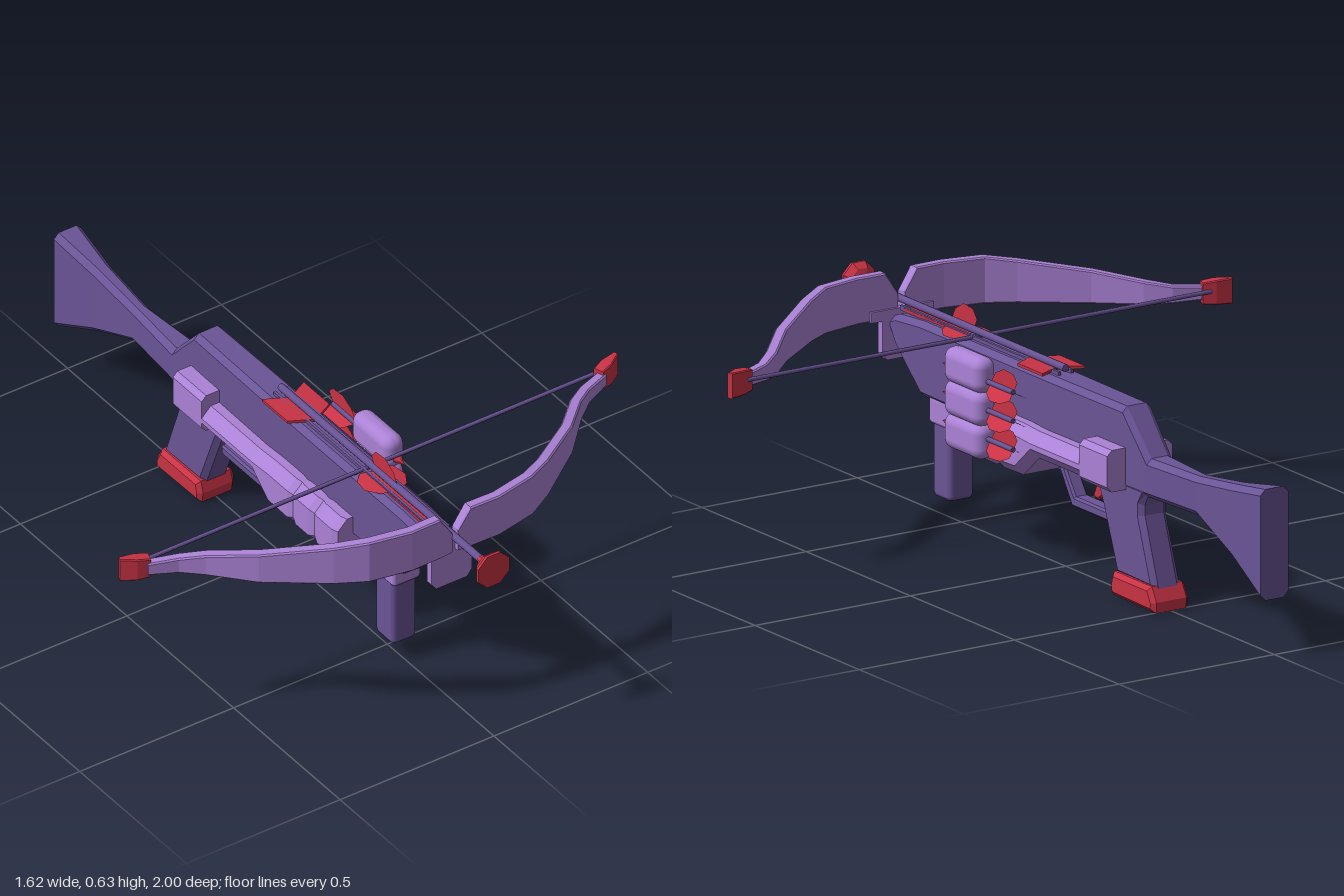
import * as THREE from 'three';
import { RoundedBoxGeometry } from 'three/addons/geometries/RoundedBoxGeometry.js';

const mat = (name, color) => {
  const m = new THREE.MeshStandardMaterial({ color, side: THREE.DoubleSide });
  m.name = name;
  return m;
};

// Chamfered bar through rows of [x, z, bottom, top, halfWidth], flat faced
function loft(rows, chamfer) {
  const up = new THREE.Vector3(0, 1, 0);
  const at = (r) => new THREE.Vector3(r[0], 0, r[1]);
  const rings = rows.map((r, i) => {
    const a = rows[Math.max(0, i - 1)], b = rows[Math.min(rows.length - 1, i + 1)];
    const right = at(b).sub(at(a)).normalize().cross(up);
    const [, , lo, hi, w] = r;
    const c = Math.min(chamfer, w * 0.6, (hi - lo) * 0.4);
    return [[w, lo + c], [w, hi - c], [w - c, hi], [c - w, hi], [-w, hi - c], [-w, lo + c], [c - w, lo], [w - c, lo]]
      .map(([s, y]) => at(r).addScaledVector(right, s).setY(y));
  });
  const pos = [];
  const tri = (...v) => v.forEach((p) => pos.push(p.x, p.y, p.z));
  for (let k = 0; k + 1 < rings.length; k++) {
    const A = rings[k], B = rings[k + 1];
    for (let i = 0; i < 8; i++) {
      const j = (i + 1) % 8;
      tri(A[i], B[i], B[j]);
      tri(A[i], B[j], A[j]);
    }
  }
  const F = rings[0], E = rings[rings.length - 1];
  for (let i = 1; i < 7; i++) {
    tri(F[0], F[i], F[i + 1]);
    tri(E[0], E[i + 1], E[i]);
  }
  const g = new THREE.BufferGeometry();
  g.setAttribute('position', new THREE.Float32BufferAttribute(pos, 3));
  g.computeVertexNormals();
  return g;
}

const outline = (pts) => new THREE.Shape(pts.map(([a, b]) => new THREE.Vector2(a, b)));

// Side profile of [z, y] points, extruded across x
function sideProfile(pts, width, bevel) {
  const g = new THREE.ExtrudeGeometry(outline(pts), {
    depth: width - 2 * bevel, bevelEnabled: bevel > 0, bevelSize: bevel,
    bevelThickness: bevel, bevelOffset: -bevel, bevelSegments: 1,
  });
  return g.translate(0, 0, bevel - width / 2).rotateY(-Math.PI / 2);
}

export function createModel() {
  const dark = mat('dark purple', 0x6a5496);
  const light = mat('light purple', 0xab82d6);
  const red = mat('red', 0xc93345);
  const model = new THREE.Group();
  const add = (name, geo, m, x = 0, y = 0, z = 0, parent = model) => {
    const mesh = new THREE.Mesh(geo, m);
    mesh.name = name;
    mesh.position.set(x, y, z);
    parent.add(mesh);
    return mesh;
  };

  // Body and shoulder stock in one run
  add('bodyAndStock', loft([
    [0, 0.785, 0.47, 0.51, 0.04], [0, 0.745, 0.43, 0.525, 0.048], [0, 0.625, 0.325, 0.535, 0.05],
    [0, 0, 0.315, 0.535, 0.05], [0, -0.34, 0.305, 0.535, 0.046], [0, -0.45, 0.305, 0.415, 0.042],
    [0, -0.66, 0.305, 0.415, 0.025], [0, -0.84, 0.23, 0.438, 0.03], [0, -1, 0.155, 0.465, 0.045],
  ], 0.016), dark);

  // Ribbed fore-end wrapped under the body
  add('foreEnd', loft([
    [0, 0.41, 0.252, 0.39, 0.098], [0, 0.39, 0.243, 0.39, 0.105], [0, 0.32, 0.243, 0.39, 0.105],
    [0, 0.3, 0.25, 0.385, 0.098], [0, 0.28, 0.243, 0.39, 0.105], [0, 0.22, 0.243, 0.39, 0.105],
    [0, 0.2, 0.25, 0.385, 0.098], [0, 0.18, 0.243, 0.39, 0.105], [0, 0.09, 0.245, 0.39, 0.105],
    [0, 0.015, 0.31, 0.385, 0.105], [0, -0.23, 0.31, 0.385, 0.105],
  ], 0.03), light);
  add('foreEndRearBlock', loft([[0, -0.22, 0.308, 0.425, 0.105], [0, -0.355, 0.308, 0.425, 0.105]], 0.015), light);

  // Front grip
  add('frontGripCollar', new RoundedBoxGeometry(0.09, 0.075, 0.105, 1, 0.01), light, 0, 0.3, 0.542);
  add('frontGrip', new RoundedBoxGeometry(0.08, 0.22, 0.086, 1, 0.014), dark, 0, 0.17, 0.54);

  // Rear grip, trigger and guard
  add('rearGrip', sideProfile([[-0.19, 0.33], [-0.215, 0.28], [-0.235, 0.24], [-0.305, 0.06],
    [-0.49, 0.06], [-0.425, 0.25], [-0.425, 0.28], [-0.45, 0.33]], 0.09, 0.015), dark);
  add('gripBase', sideProfile([[-0.305, 0.07], [-0.295, 0.035], [-0.3, 0.004], [-0.505, 0],
    [-0.507, 0.03], [-0.485, 0.07]], 0.12, 0.012), red);
  add('triggerGuard', sideProfile([[0.01, 0.32], [0.005, 0.285], [-0.06, 0.185], [-0.25, 0.185],
    [-0.25, 0.215], [-0.075, 0.215], [-0.03, 0.28], [-0.03, 0.32]], 0.045, 0.006), dark);
  add('trigger', sideProfile([[-0.15, 0.32], [-0.165, 0.27], [-0.15, 0.235], [-0.175, 0.23],
    [-0.205, 0.25], [-0.215, 0.32]], 0.03, 0.005), red);

  // Bow mount plate with rounded lower corners
  add('bowMount', new THREE.ExtrudeGeometry(outline([[-0.05, 0.39], [0.05, 0.39], [0.066, 0.41],
    [0.066, 0.5], [0.1, 0.5], [0.1, 0.53], [-0.1, 0.53], [-0.1, 0.5], [-0.066, 0.5], [-0.066, 0.41]]),
  { depth: 0.02, bevelEnabled: false }), light, 0, 0, 0.782);

  // Bow limbs with red tips
  for (const s of [1, -1]) {
    add(s > 0 ? 'leftLimb' : 'rightLimb', loft([
      [0.01, 0.803, 0.5, 0.57, 0.015], [0.05, 0.805, 0.5, 0.63, 0.016], [0.14, 0.807, 0.5, 0.63, 0.016],
      [0.26, 0.783, 0.5, 0.63, 0.016], [0.34, 0.738, 0.5, 0.618, 0.016], [0.5, 0.62, 0.5, 0.592, 0.016],
      [0.6, 0.518, 0.505, 0.57, 0.016], [0.66, 0.473, 0.51, 0.558, 0.015], [0.74, 0.44, 0.515, 0.553, 0.014],
    ].map(([x, ...r]) => [s * x, ...r]), 0.004), light);
    add(s > 0 ? 'leftTip' : 'rightTip', loft([
      [s * 0.73, 0.437, 0.505, 0.565, 0.016], [s * 0.765, 0.424, 0.502, 0.57, 0.018],
      [s * 0.807, 0.407, 0.5, 0.572, 0.008],
    ], 0.003), red);
  }
  add('bowString', new THREE.CylinderGeometry(0.006, 0.006, 1.58, 6).rotateZ(Math.PI / 2), dark, 0, 0.54, 0.416);

  // Leaf vanes fanned round an axis along z, outline in [z, radius]
  const vanes = (name, pts, angles, x, y, z) => angles.forEach((deg) => {
    const g = new THREE.ShapeGeometry(outline(pts)).rotateY(-Math.PI / 2);
    add(name, g.rotateZ(THREE.MathUtils.degToRad(deg - 90)), red, x, y, z);
  });
  const leaf = [[0, 0], [-0.02, 0.03], [0, 0.05], [0.045, 0.054], [0.085, 0.035], [0.11, 0]];

  // Loaded bolt with a flared blunt head
  add('boltShaft', new THREE.CylinderGeometry(0.011, 0.011, 0.95, 8).rotateX(Math.PI / 2), dark, 0, 0.552, 0.475);
  const head = [[0, 0], [0.013, 0], [0.016, 0.025], [0.04, 0.033], [0.055, 0.052], [0.055, 0.06], [0, 0.06]]
    .map(([r, h]) => new THREE.Vector2(r, h));
  const headGeo = new THREE.LatheGeometry(head, 8, Math.PI / 8).rotateX(Math.PI / 2).toNonIndexed();
  headGeo.computeVertexNormals();
  add('boltHead', headGeo, red, 0, 0.553, 0.94);
  vanes('boltVane', leaf.map(([a, r]) => [a, r * 1.25]), [90, -10, 190], 0, 0.545, 0.445);
  add('frontInlay', new THREE.BoxGeometry(0.05, 0.008, 0.2), red, 0, 0.537, 0.64);
  add('railChevron', new THREE.ExtrudeGeometry(outline([[-0.068, -0.01], [0, -0.045], [0.068, -0.01],
    [0.068, -0.13], [0, -0.165], [-0.068, -0.13]]), { depth: 0.008, bevelEnabled: false })
    .rotateX(-Math.PI / 2), red, 0, 0.537, 0);
  for (const s of [1, -1]) add('rail', new THREE.BoxGeometry(0.008, 0.014, 0.76), dark, s * 0.02, 0.538, 0.38);

  // Side quiver of three spare bolts
  const quiver = new THREE.Group();
  quiver.name = 'quiver';
  model.add(quiver);
  [0.5, 0.408, 0.316].forEach((y, i) => {
    add('quiverLobe', new RoundedBoxGeometry(0.066, 0.1, 0.18, 3, 0.03), light, 0.122, y, 0.28, quiver);
    const by = 0.487 - i * 0.08;
    add('spareShaft', new THREE.CylinderGeometry(0.008, 0.008, 0.3, 6).rotateX(Math.PI / 2), dark, 0.122, by, 0.22, quiver);
    add('spareTip', new THREE.ConeGeometry(0.016, 0.05, 6).rotateX(Math.PI / 2), red, 0.122, by, 0.385, quiver);
    vanes('spareVane', leaf, [90, -30, 210], 0.122, by, 0.07);
  });
  return model;
}
